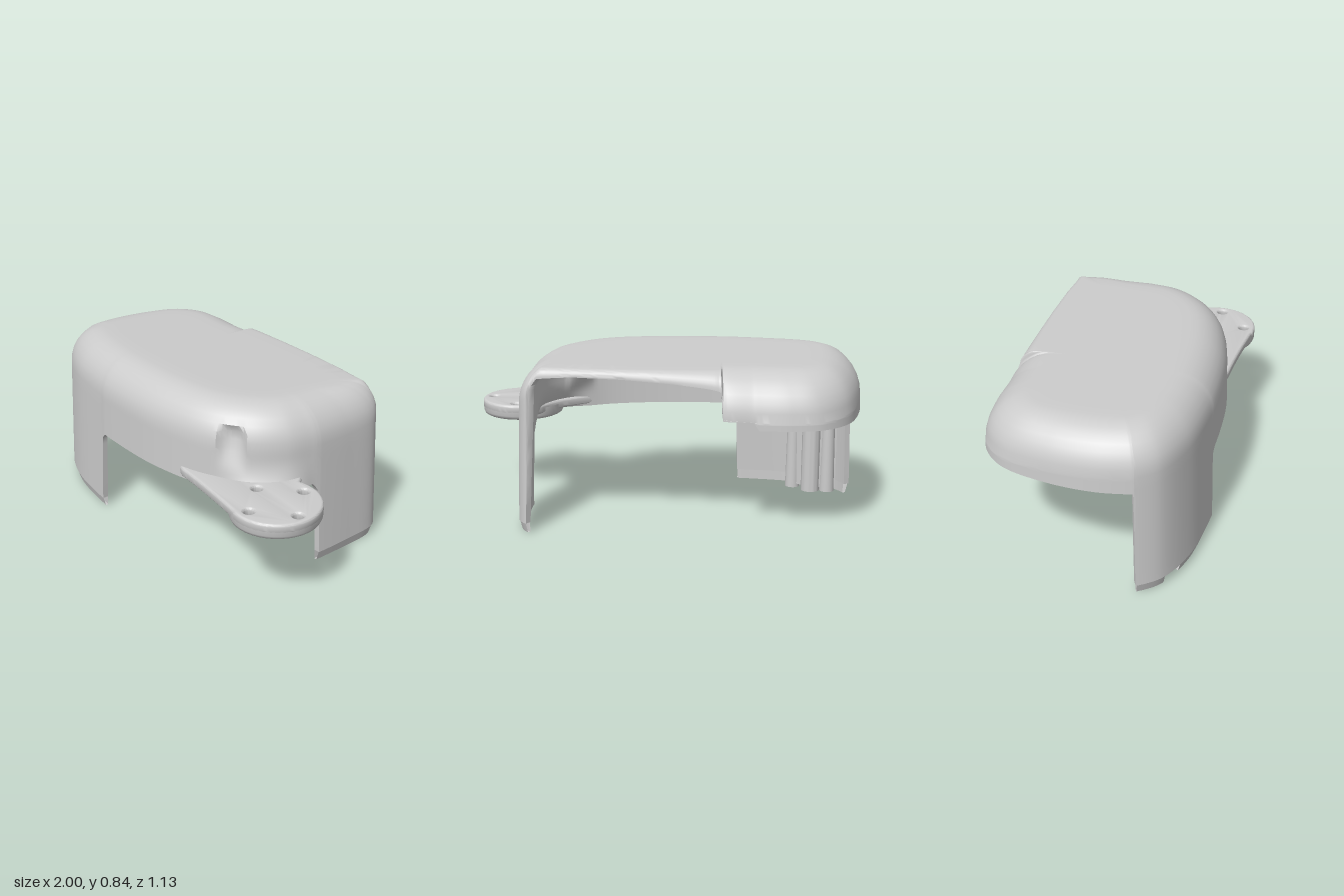
import * as THREE from 'three';
import { toCreasedNormals } from 'three/addons/utils/BufferGeometryUtils.js';

const grey = new THREE.MeshStandardMaterial({ color: 0xcccccc, side: THREE.DoubleSide });
grey.name = 'plain grey plastic';

// Outline stations, clockwise from the back right corner: x, z, lower edge height, roof edge radius
const STATIONS = [
  [0.665, -0.425, 0.05, 0.14], [0.7, -0.375, 0.05, 0.18], [0.708, -0.2, 0.05, 0.2], [0.703, -0.008, 0.05, 0.2],
  [0.702, 0, 0.39, 0.2], [0.695, 0.035, 0.44, 0.2], [0.66, 0.16, 0.44, 0.2], [0.56, 0.3, 0.44, 0.2],
  [0.38, 0.42, 0.44, 0.2], [0.05, 0.485, 0.44, 0.2], [-0.36, 0.475, 0.44, 0.2], [-0.39, 0.47, 0.41, 0.2],
  [-0.4, 0.468, 0.05, 0.2], [-0.7, 0.41, 0.05, 0.2], [-0.9, 0.31, 0.05, 0.2], [-0.976, 0.204, 0.05, 0.2],
  [-0.979, 0.196, 0.56, 0.2], [-0.995, 0.03, 0.56, 0.2], [-0.965, -0.2, 0.56, 0.2], [-0.88, -0.43, 0.56, 0.21],
  [-0.75, -0.54, 0.56, 0.22], [-0.6, -0.565, 0.56, 0.22], [-0.45, -0.556, 0.56, 0.22], [-0.42, -0.553, 0.6, 0.22],
  [-0.28, -0.538, 0.6, 0.21], [-0.27, -0.505, 0.74, 0.09], [-0.24, -0.499, 0.745, 0.08], [-0.03, -0.477, 0.765, 0.055],
  [0.2, -0.455, 0.78, 0.04], [0.42, -0.433, 0.785, 0.035], [0.61, -0.415, 0.78, 0.05], [0.645, -0.42, 0.72, 0.1],
];
const STEPS = 10;
const WALL = 0.03;
const outline = new THREE.CatmullRomCurve3(STATIONS.map(s => new THREE.Vector3(s[0], 0, s[1])), true);

// A sample has its outline point, its centre-line point, lower edge and roof radius
function sample(u) {
  const n = STATIONS.length;
  const k = Math.floor(u) % n, f = u - Math.floor(u);
  const a = STATIONS[k], b = STATIONS[(k + 1) % n];
  const p = outline.getPoint((u % n) / n);
  const core = new THREE.Vector3(THREE.MathUtils.clamp(p.x, -0.5, 0.25), 0, 0);
  const out = p.clone().sub(core).normalize();
  return { p, core, out, low: THREE.MathUtils.lerp(a[2], b[2], f), r: THREE.MathUtils.lerp(a[3], b[3], f) };
}
const roofY = z => 0.835 + 0.03 * z;

// Joins a grid of points, one column per outline sample, into a smooth surface
function skin(columns, closed) {
  const rows = columns[0].length, pos = [], idx = [];
  columns.forEach(c => c.forEach(v => pos.push(v.x, v.y, v.z)));
  const last = closed ? columns.length : columns.length - 1;
  for (let i = 0; i < last; i++) {
    for (let j = 0; j < rows - 1; j++) {
      const a = i * rows + j, b = ((i + 1) % columns.length) * rows + j;
      idx.push(a, b, a + 1, b, b + 1, a + 1);
    }
  }
  const g = new THREE.BufferGeometry();
  g.setAttribute('position', new THREE.Float32BufferAttribute(pos, 3));
  g.setIndex(idx);
  return toCreasedNormals(g, 0.7);
}

// Shallow screw clearance pocket sunk into the wall above the flange, fading out downwards
function carve(v, extra) {
  const d = Math.hypot(v.x - 0.505, v.z - 0.385), r = 0.075 + extra;
  if (v.y < 0.75 && d < r) {
    const depth = Math.sqrt(r * r - d * d) * THREE.MathUtils.smoothstep(v.y, 0.52, 0.7);
    v.x -= 0.33 * depth;
    v.z -= 0.5 * depth;
  }
  return v;
}

// One face of the cover's section, from the roof centre to the lower edge
function face(s, inset) {
  const pts = [];
  const r = Math.max(s.r - inset, 0.004);
  const at = (dist, drop, y) => {
    const v = s.p.clone().addScaledVector(s.out, -dist);
    v.y = y === undefined ? roofY(v.z) - drop : y;
    return carve(v, inset);
  };
  const edge = at(inset + r, inset);
  for (let k = 0; k < 4; k++) {
    const v = s.core.clone().lerp(edge, k / 4);
    v.y = roofY(v.z) - inset;
    pts.push(v);
  }
  for (let k = 0; k <= 8; k++) {
    const a = k / 8 * Math.PI / 2;
    pts.push(at(inset + r * (1 - Math.sin(a)), inset + r * (1 - Math.cos(a))));
  }
  const top = roofY(s.p.z) - inset - r;
  const low = Math.min(s.low, top);
  // The wall leans out slightly and sweeps outwards into the flange
  const near = 1 - THREE.MathUtils.smoothstep(Math.hypot(s.p.x - 0.6, s.p.z - 0.25), 0.05, 0.26);
  for (let k = 1; k <= 10; k++) {
    const y = THREE.MathUtils.lerp(top, low, k / 10);
    const sweep = near * 0.06 * (Math.max(0, 0.6 - y) / 0.16) ** 2;
    pts.push(at(inset - 0.035 * Math.max(0, 0.65 - y) - sweep, 0, y));
  }
  return pts;
}

// Thin lip under a leg between two stations
function lip(from, to) {
  const cols = [];
  for (let i = 0; i <= 24; i++) {
    const s = sample(from + (to - from) * i / 24);
    const at = (d, y) => { const v = s.p.clone().addScaledVector(s.out, -d); v.y = y; return v; };
    cols.push([at(-0.019, 0.052), at(-0.004, 0), at(0.01, 0), at(0.01, 0.052)]);
  }
  return skin(cols, false);
}

// Rounded mounting plate with four screw holes
function flangePlate() {
  const s = new THREE.Shape();
  s.moveTo(0.36, -0.42);
  s.lineTo(0.25, -0.462);
  s.quadraticCurveTo(0.47, -0.485, 0.73, -0.54);
  s.absarc(0.78, -0.345, 0.205, -1.8, 1.95, false);
  s.quadraticCurveTo(0.71, -0.14, 0.695, -0.12);
  s.lineTo(0.67, -0.15);
  s.quadraticCurveTo(0.6, -0.31, 0.36, -0.42);
  for (const [x, z] of [[0.8, 0.19], [0.64, 0.335], [0.94, 0.36], [0.77, 0.5]]) {
    const h = new THREE.Path();
    h.absarc(x, -z, 0.037, 0, Math.PI * 2, true);
    s.holes.push(h);
  }
  const g = new THREE.ExtrudeGeometry(s, {
    depth: 0.02, bevelEnabled: true, bevelThickness: 0.014, bevelSize: 0.012, bevelSegments: 4, curveSegments: 24,
  });
  g.rotateX(-Math.PI / 2);
  g.translate(0, 0.466, 0);
  return toCreasedNormals(g, 0.7);
}

// Turned solid from radius and height pairs
const turned = pts => toCreasedNormals(new THREE.LatheGeometry(pts.map(p => new THREE.Vector2(...p)), 40), 0.7);
const tube = (outer, inner, y0, y1) =>
  turned([[inner, y0], [outer, y0], [outer, y1], [inner, y1], [inner, y0]]);

export function createModel() {
  const model = new THREE.Group();
  model.name = 'cover';
  const add = (name, geometry, x = 0, y = 0, z = 0, turn = 0, parent = model) => {
    const m = new THREE.Mesh(geometry, grey);
    m.name = name;
    m.position.set(x, y, z);
    m.rotation.y = turn;
    parent.add(m);
  };

  // Hollow cover: outer face, lower rim and inner face in one skin
  const columns = [];
  for (let i = 0; i < STATIONS.length * STEPS; i++) {
    const s = sample(i / STEPS);
    columns.push([...face(s, 0), ...face(s, WALL).reverse()]);
  }
  add('shell', skin(columns, true));

  // Feet
  add('sideLegLip', lip(0.1, 2.98));
  add('frontLegLip', lip(12.02, 13.4));
  add('frontLegOuterLip', lip(13.9, 14.9));

  // Flange with a ribbed hub on its underside
  const flange = new THREE.Group();
  flange.name = 'flange';
  model.add(flange);
  add('flangePlate', flangePlate(), 0, 0, 0, 0, flange);
  add('flangeRim', turned([[0.185, 0.47], [0.185, 0.428], [0.193, 0.42], [0.2, 0.42], [0.21, 0.426],
    [0.216, 0.44], [0.217, 0.48]]), 0.78, 0, 0.345, 0, flange);
  add('flangeHub', tube(0.085, 0.06, 0.43, 0.47), 0.78, 0, 0.345, 0, flange);
  for (let i = 0; i < 12; i++) {
    const a = (i + 0.5) / 12 * Math.PI * 2;
    add('flangeRib', new THREE.BoxGeometry(0.12, 0.035, 0.012),
      0.78 + 0.14 * Math.cos(a), 0.448, 0.345 - 0.14 * Math.sin(a), a, flange);
  }

  // Screw post inside the front leg, with slim columns and ribs tying it to the wall
  add('screwPost', tube(0.05, 0.025, 0, 0.7), -0.79, 0, 0.26);
  for (const [x, z] of [[-0.88, 0.25], [-0.7, 0.33]]) {
    add('sideColumn', new THREE.CylinderGeometry(0.03, 0.04, 0.64, 20), x, 0.32, z);
  }
  for (const [x, z, length, turn] of [[-0.88, 0.25, 0.09, 0], [-0.79, 0.33, 0.06, Math.PI / 2], [-0.73, 0.3, 0.09, -0.7]]) {
    add('postRib', new THREE.BoxGeometry(length, 0.6, 0.02), x, 0.32, z, turn);
  }
  add('innerBracket', new THREE.BoxGeometry(0.14, 0.12, 0.12), -0.65, 0.71, 0.27, -0.2);
  return model;
}
